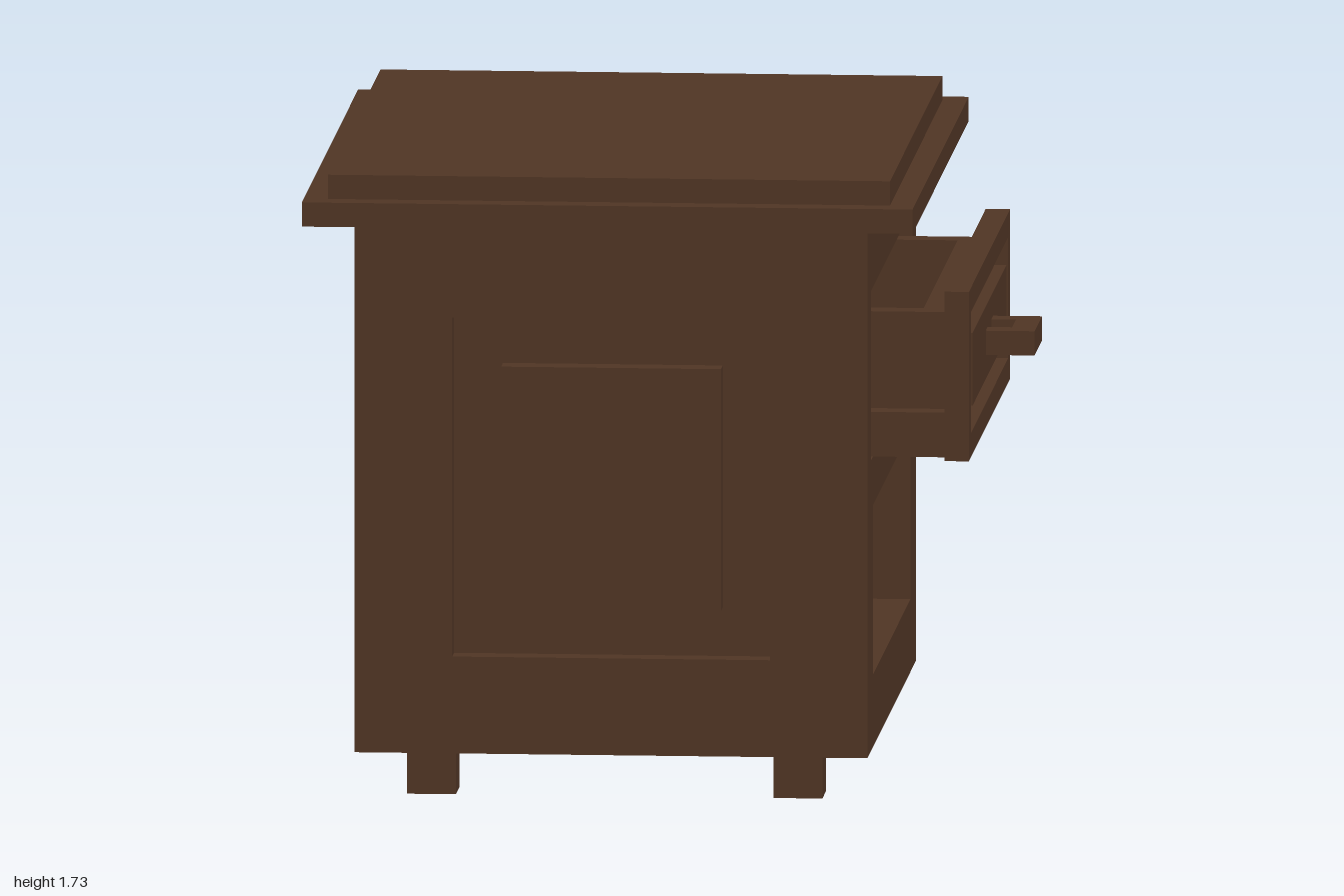
import * as THREE from 'three';

const U = 1 / 15; // design module: every size is a multiple of this

export function createModel() {
  const model = new THREE.Group();
  model.name = 'nightstand';
  const wood = new THREE.MeshStandardMaterial({ color: 0x503524 });
  wood.name = 'dark wood';

  const add = (parent, name, geometry) => {
    const mesh = new THREE.Mesh(geometry, wood);
    mesh.name = name;
    parent.add(mesh);
    return mesh;
  };

  // Box given by its limits in modules
  const box = (parent, name, x0, x1, y0, y1, z0, z1) =>
    add(parent, name, new THREE.BoxGeometry((x1 - x0) * U, (y1 - y0) * U, (z1 - z0) * U)
      .translate((x0 + x1) / 2 * U, (y0 + y1) / 2 * U, (z0 + z1) / 2 * U));

  // One-module-thick board with rectangular holes; rectangles are [a0, a1, y0, y1]
  const trace = (path, [a0, a1, y0, y1]) => {
    path.moveTo(a0 * U, y0 * U);
    path.lineTo(a1 * U, y0 * U);
    path.lineTo(a1 * U, y1 * U);
    path.lineTo(a0 * U, y1 * U);
    path.closePath();
    return path;
  };
  const board = (outline, holes) => {
    const shape = trace(new THREE.Shape(), outline);
    holes.forEach(h => shape.holes.push(trace(new THREE.Path(), h)));
    return new THREE.ExtrudeGeometry(shape, { depth: U, bevelEnabled: false });
  };

  // Cabinet
  const cabinet = new THREE.Group();
  cabinet.name = 'cabinet';
  model.add(cabinet);

  // Sides: open frame, raised centre panel, backing board and shelf lining
  for (const s of [-1, 1]) {
    const frame = board([-12.5, 8.5, 2, 24], [[-8.5, 4.5, 6, 20]]);
    add(cabinet, 'sideFrame', frame.translate(0, 0, s > 0 ? 12 * U : -13 * U));
    const slab = (name, x0, x1, y0, y1, a, b) =>
      box(cabinet, name, x0, x1, y0, y1, Math.min(s * a, s * b), Math.max(s * a, s * b));
    slab('sidePanel', -6.5, 2.5, 8, 18, 12, 13);
    slab('sideBacking', -11.5, 7.5, 3, 24, 11, 12);
    slab('shelfLining', -11.5, 7.5, 5, 12, 10, 11);
    for (const x of [-10.5, 4.5]) slab('leg', x, x + 2, 0, 3, 9, 11);
  }
  box(cabinet, 'backPanel', -12.5, -11.5, 2, 24, -12, 12);
  box(cabinet, 'shelfFloor', -11.5, 7.5, 3, 5, -11, 11);
  box(cabinet, 'divider', -11.5, 7.5, 12, 14, -11, 11);
  box(cabinet, 'upperRail', -11.5, 7.5, 21, 24, -11, 11);

  // Face frame with the shelf and drawer openings
  add(cabinet, 'faceFrame', board([-12, 12, 2, 24], [[-10, 10, 5, 12], [-11, 11, 14, 21]])
    .rotateY(Math.PI / 2).translate(7.5 * U, 0, 0));

  // Stepped top
  box(model, 'lowerTop', -14.5, 10.5, 24, 25, -15, 15);
  box(model, 'upperTop', -13.5, 9.5, 25, 26, -14, 14);

  // Pulled-out drawer
  const drawer = new THREE.Group();
  drawer.name = 'drawer';
  model.add(drawer);
  box(drawer, 'drawerBottom', -7.5, 11.5, 14, 15, -10, 10);
  box(drawer, 'drawerInnerFront', 10.5, 11.5, 15, 20, -10, 10);
  box(drawer, 'drawerBack', -7.5, -6.5, 15, 20, -10, 10);
  for (const s of [-1, 1]) {
    box(drawer, 'drawerSide', -6.5, 10.5, 15, 20, s * 9.5 - 0.5, s * 9.5 + 0.5);
    box(drawer, 'drawerRunner', -7.5, 11.5, 15, 16, s * 10.5 - 0.5, s * 10.5 + 0.5);
  }
  add(drawer, 'drawerFrame', board([-11, 11, 14, 21], [[-10, 10, 15, 20]])
    .rotateY(Math.PI / 2).translate(11.5 * U, 0, 0));
  box(drawer, 'drawerPanel', 11.5, 12.5, 16, 19, -9, 9);

  // Handle
  for (const s of [-1, 1])
    box(drawer, 'handleArm', 12.5, 13.5, 17, 18, s * 1.5 - 0.5, s * 1.5 + 0.5);
  box(drawer, 'handleBar', 13.5, 14.5, 17, 18, -2, 2);

  return model;
}
